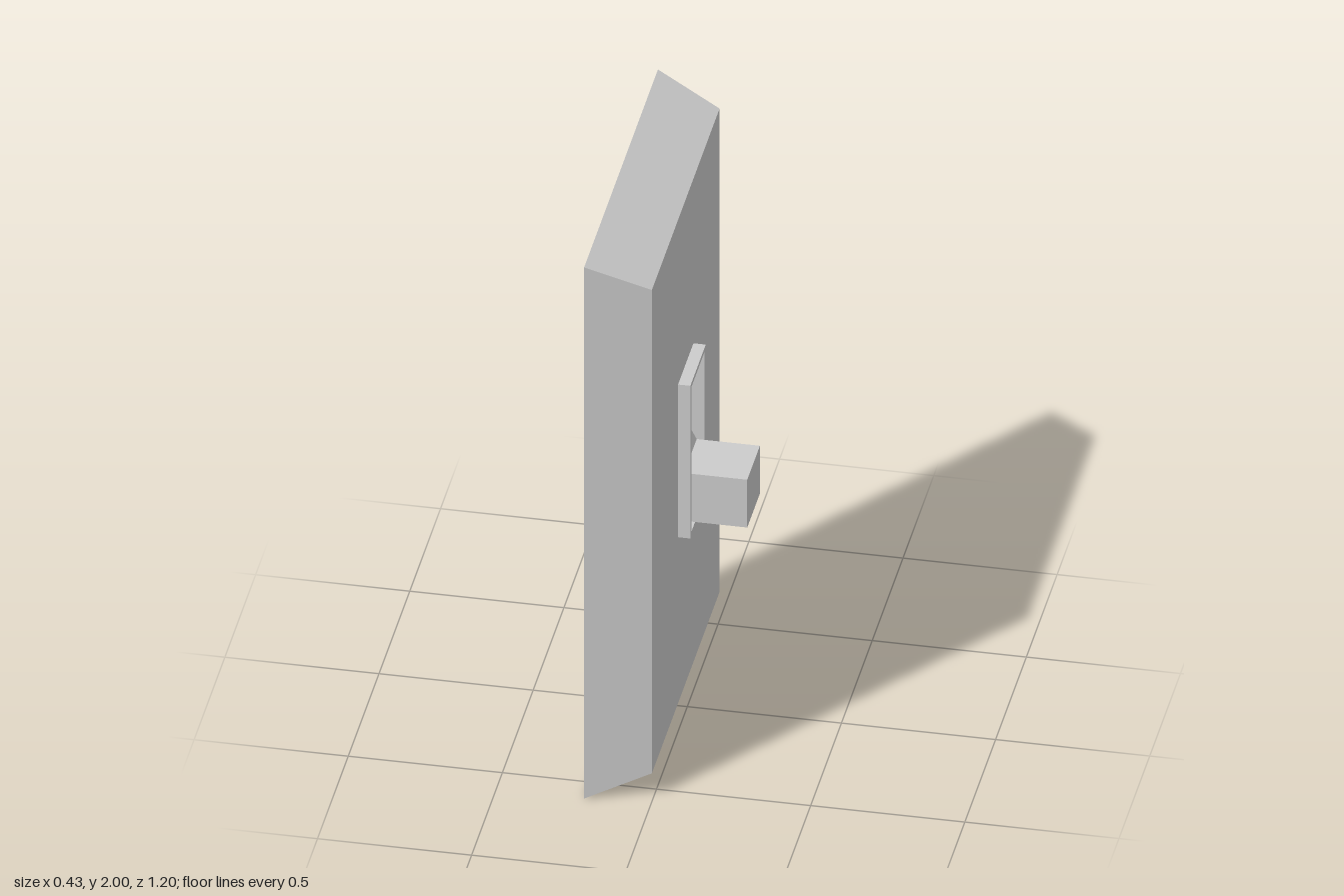
import * as THREE from 'three';

const material = new THREE.MeshStandardMaterial({
  color: 0xcccccc, flatShading: true, side: THREE.DoubleSide,
});

function part(name, geometry) {
  const mesh = new THREE.Mesh(geometry, material);
  mesh.name = name;
  return mesh;
}

// Corners of a rectangle standing in the zy plane at depth x
function ring(x, halfZ, y0, y1) {
  return [[x, y0, halfZ], [x, y0, -halfZ], [x, y1, -halfZ], [x, y1, halfZ]];
}

// Strip of quads between two matching rows of points
function strip(a, b, closed = true) {
  const positions = [];
  const count = closed ? a.length : a.length - 1;
  for (let i = 0; i < count; i++) {
    const j = (i + 1) % a.length;
    positions.push(...a[i], ...a[j], ...b[j], ...a[i], ...b[j], ...b[i]);
  }
  const geometry = new THREE.BufferGeometry();
  geometry.setAttribute('position', new THREE.Float32BufferAttribute(positions, 3));
  geometry.computeVertexNormals();
  return geometry;
}

export function createModel() {
  const group = new THREE.Group();
  group.name = 'wallSwitch';

  // Slot sizes
  const slot = [0.105, 0.73, 1.275];
  const rim = [0.125, 0.715, 1.29];
  const faceX = -0.005, rimX = 0.035;

  // Cover plate: sloping border, open at the back, and a face with a slot
  const faceRing = ring(faceX, 0.55, 0.09, 1.91);
  group.add(part('plateBorder', strip(ring(-0.215, 0.6, 0, 2), faceRing)));
  const toShape = (points) => new THREE.Shape(points.map(([, y, z]) => new THREE.Vector2(-z, y)));
  const face = toShape(faceRing);
  face.holes.push(toShape(ring(0, ...slot)));
  group.add(part('plateFace', new THREE.ShapeGeometry(face).rotateY(Math.PI / 2).translate(faceX, 0, 0)));

  // Raised collar around the slot, with a tunnel reaching behind the face
  const collar = new THREE.Group();
  collar.name = 'slotCollar';
  collar.add(part('collarOuter', strip(ring(faceX, ...rim), ring(rimX, ...rim))));
  collar.add(part('collarRim', strip(ring(rimX, ...rim), ring(rimX, ...slot))));
  collar.add(part('slotTunnel', strip(ring(rimX, ...slot), ring(-0.09, ...slot))));
  group.add(collar);

  // Toggle: hollow body with flared neck, open along its waisted back edge
  const front = [
    [-0.16, 1.45], [-0.05, 1.45], [-0.05, 1.06], [0.01, 0.945], [0.215, 0.945],
    [0.215, 0.765], [0.01, 0.765], [-0.05, 0.645], [-0.05, 0.26], [-0.16, 0.26],
  ];
  const back = [[-0.16, 0.65], [-0.127, 0.765], [-0.127, 0.945], [-0.16, 1.06]];
  const side = new THREE.Shape([...front, ...back].map(([x, y]) => new THREE.Vector2(x, y)));
  const halfWidth = 0.103;
  const toggle = new THREE.Group();
  toggle.name = 'toggle';
  const edge = (z) => front.map(([x, y]) => [x, y, z]);
  toggle.add(part('toggleSkin', strip(edge(halfWidth), edge(-halfWidth), false)));
  for (const s of [1, -1]) {
    toggle.add(part(s > 0 ? 'toggleFrontSide' : 'toggleRearSide',
      new THREE.ShapeGeometry(side).translate(0, 0, s * halfWidth)));
  }
  group.add(toggle);

  return group;
}
